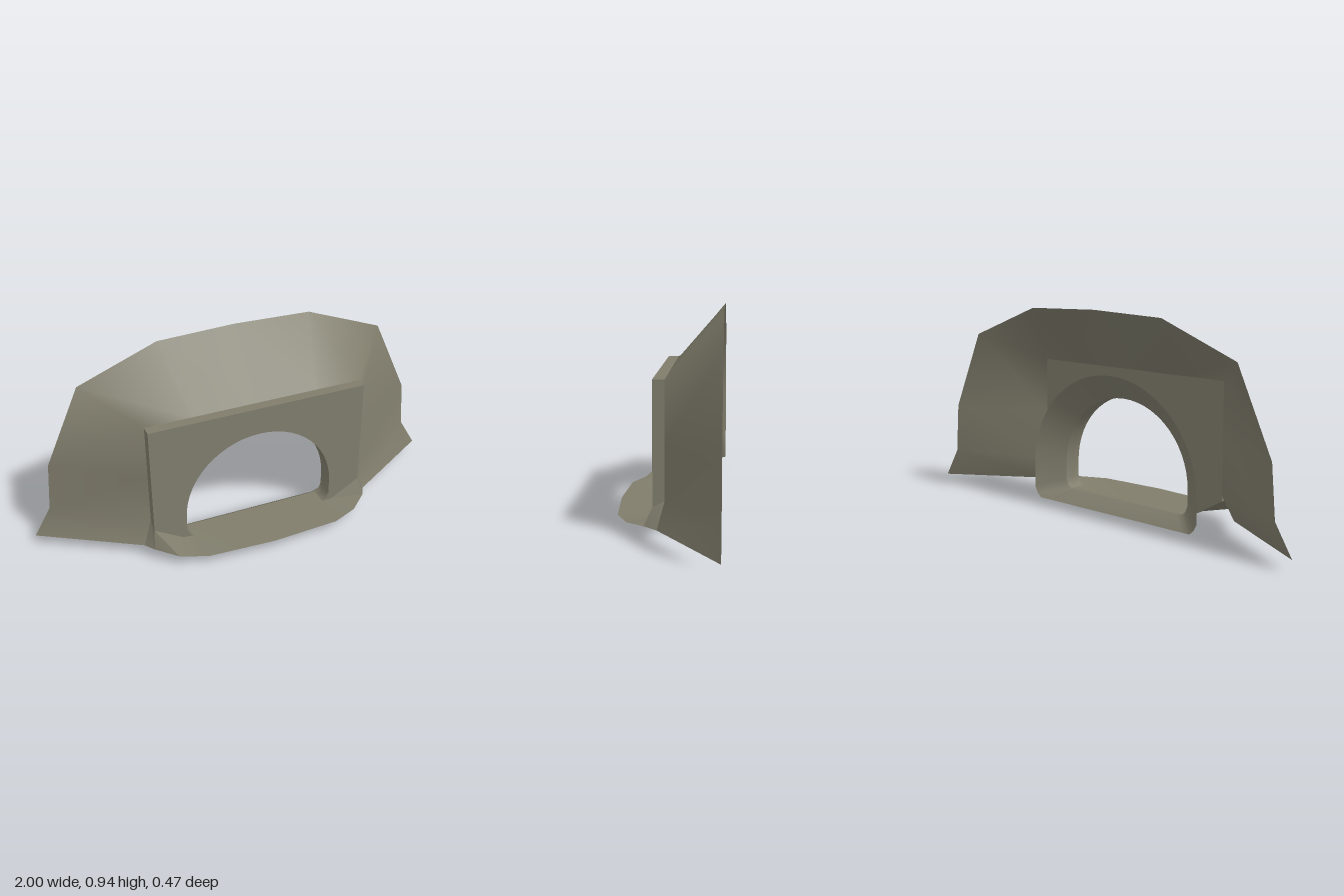
import * as THREE from 'three';
import { toCreasedNormals } from 'three/addons/utils/BufferGeometryUtils.js';

const stone = new THREE.MeshStandardMaterial({ color: 0x807d6c, side: THREE.DoubleSide });
stone.name = 'weathered stone';

// Surface skinned between rows of matching points
function loft(rows, crease) {
  const n = rows[0].length, index = [];
  for (let r = 0; r < rows.length - 1; r++) {
    for (let i = 0; i < n - 1; i++) {
      const a = r * n + i, b = a + n;
      index.push(a, b, a + 1, b, b + 1, a + 1);
    }
  }
  const geo = new THREE.BufferGeometry();
  geo.setAttribute('position', new THREE.Float32BufferAttribute(rows.flat(2), 3));
  geo.setIndex(index);
  geo.computeVertexNormals();
  return crease ? toCreasedNormals(geo, crease) : geo;
}

// Right half listed from the centre line outwards, mirrored to a full row
function mirrorRow(half) {
  const left = half.slice(1).reverse().map(([x, y, z]) => [-x, y, z]);
  return [...left, ...half];
}

// Half of an arch from crown to springing
function halfArch(radius, z, segments = 14) {
  return Array.from({ length: segments + 1 }, (_, i) => {
    const a = (i / segments) * Math.PI / 2;
    return [radius * Math.sin(a), 0.17 + radius * Math.cos(a), z];
  });
}

export function createModel() {
  const model = new THREE.Group();
  const add = (name, geo) => {
    const mesh = new THREE.Mesh(geo, stone);
    mesh.name = name;
    model.add(mesh);
  };

  // Front wall with arched opening
  const foot = [[0.36, 0.1], [0.348, 0.068], [0.33, 0.055]];
  const opening = mirrorRow([...halfArch(0.36, 0), ...foot.map(([x, y]) => [x, y, 0])]);
  const outline = [[0.38, 0.06], [0.515, 0.14], [0.515, 0.66], [-0.515, 0.66], [-0.515, 0.14], [-0.38, 0.06]];
  const wall = new THREE.Shape([...opening, ...outline].map(([x, y]) => new THREE.Vector2(x, y)));
  const wallGeo = new THREE.ExtrudeGeometry(wall, { depth: 0.05, bevelEnabled: false });
  add('archWall', toCreasedNormals(wallGeo, 0.6));

  // Bank flaring back from the wall
  const bankInner = mirrorRow([
    [0, 0.66, 0], [0.3, 0.66, 0], [0.515, 0.66, 0],
    [0.515, 0.4, 0], [0.515, 0.165, 0], [0.56, 0.055, 0.03],
  ]);
  const bankOuter = mirrorRow([
    [0, 0.942, -0.235], [0.365, 0.93, -0.235], [0.735, 0.785, -0.235],
    [0.9, 0.42, -0.235], [0.92, 0.19, -0.235], [1, 0.055, -0.235],
  ]);
  add('bank', loft([bankInner, bankOuter]));

  // Ground apron in front, rising to the wall corners
  const apronInner = mirrorRow([
    [0, 0.055, 0], [0.33, 0.055, 0], [0.38, 0.06, 0.05], [0.515, 0.14, 0.05], [0.515, 0.165, 0],
  ]);
  const apronOuter = mirrorRow([
    [0, 0.055, 0.233], [0.32, 0.055, 0.215], [0.44, 0.055, 0.165], [0.53, 0.063, 0.085], [0.56, 0.055, 0.03],
  ]);
  add('apron', loft([apronOuter, apronInner], 0.7));

  // Short tunnel behind the opening, closed by its floor
  const tunnelRow = (z) => {
    const row = mirrorRow([...halfArch(0.36, z), ...foot.map(([x, y]) => [x, y, z]), [0.3, 0.055, z]]);
    return [...row, row[0]];
  };
  const throat = tunnelRow(-0.035);
  add('tunnel', loft([tunnelRow(0), throat], 0.6));

  // Funnel widening at the back of the tunnel
  const rim = mirrorRow([
    ...halfArch(0.475, -0.13),
    [0.478, 0.06, -0.13], [0.462, 0.03, -0.13], [0.44, 0.011, -0.13], [0.38, 0.001, -0.105],
  ]);
  add('tunnelFunnel', loft([throat, [...rim, rim[0]]], 0.6));

  return model;
}
